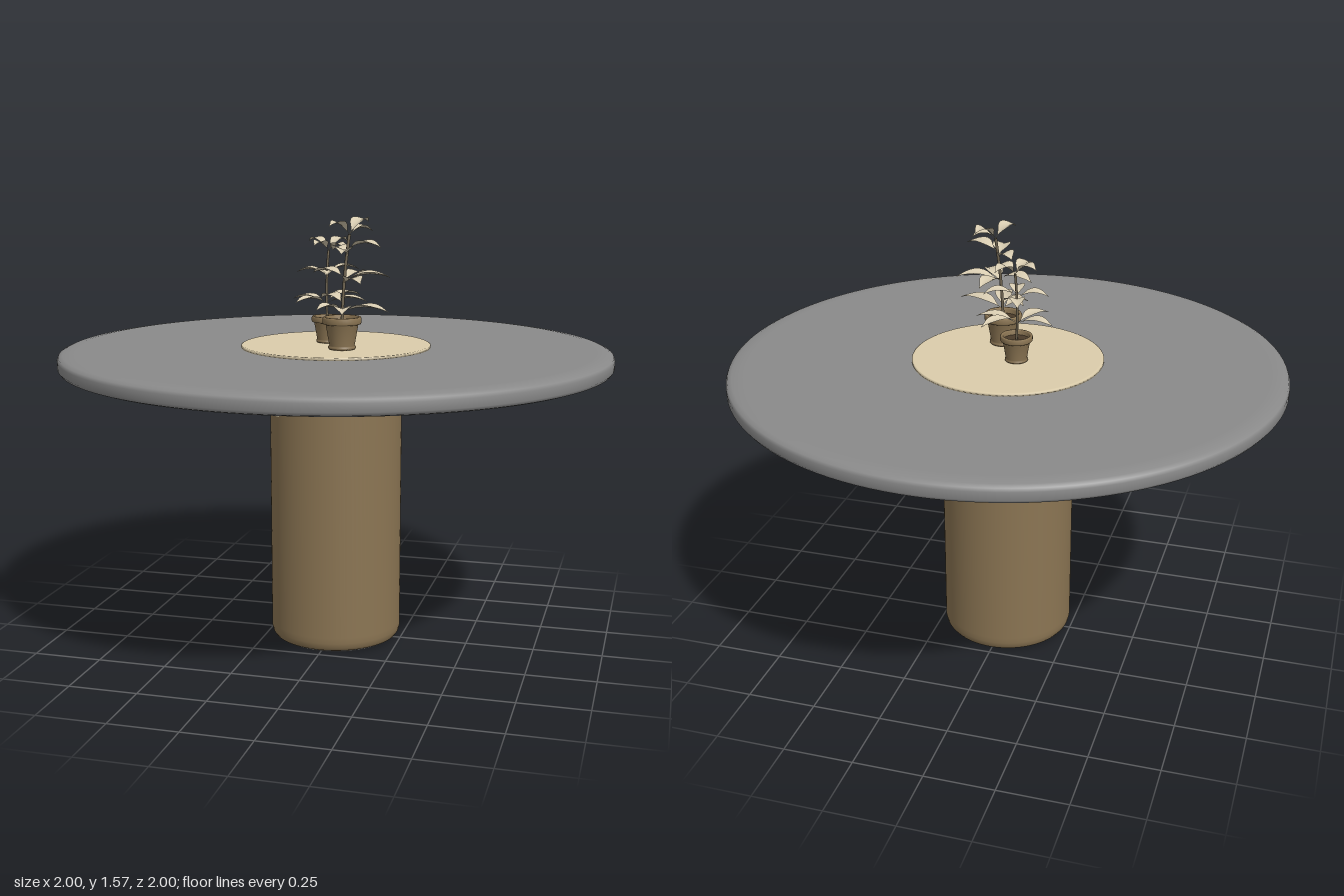
import * as THREE from 'three';

const material = (color) => new THREE.MeshStandardMaterial({ color, side: THREE.DoubleSide });
const grey = material(0x8a8a8a);
const brown = material(0x8b7553);
const cream = material(0xdccdab);
const leafMat = material(0xd9cdb2);
const soilMat = material(0x4a3b2a);
const stemMat = material(0x6f6450);

function add(parent, name, geometry, mat) {
  const mesh = new THREE.Mesh(geometry, mat);
  mesh.name = name;
  parent.add(mesh);
  return mesh;
}

function lathe(points, segments = 96) {
  return new THREE.LatheGeometry(points.map(([x, y]) => new THREE.Vector2(x, y)), segments);
}

// Pointed leaf: a plane bent along an arc, tapered to both ends and folded at the midrib
function leafGeometry(base, tip, width) {
  const mid = base.clone().lerp(tip, 0.5);
  mid.y = Math.max(base.y, tip.y) + 0.03;
  const curve = new THREE.QuadraticBezierCurve3(base, mid, tip);
  const out = tip.clone().sub(base).setY(0).normalize();
  const side = new THREE.Vector3(-out.z, 0, out.x);
  const geometry = new THREE.PlaneGeometry(2, 1, 4, 10);
  const pos = geometry.attributes.position;
  for (let i = 0; i < pos.count; i++) {
    const u = pos.getX(i);
    const t = pos.getY(i) + 0.5;
    const blade = Math.max(0, (t - 0.15) / 0.85);
    const half = 0.0015 + width * Math.sin(Math.PI * Math.pow(blade, 0.8));
    const p = curve.getPoint(t).addScaledVector(side, u * half * (1 - 0.9 * Math.pow(t, 12)));
    p.y += Math.abs(u) * half * 0.35;
    pos.setXYZ(i, p.x, p.y, p.z);
  }
  geometry.computeVertexNormals();
  return geometry;
}

// Potted plant: foot and top are the stem ends, each leaf is its tip [x, y, z]
function pottedPlant(name, size, foot, top, tips) {
  const plant = new THREE.Group();
  plant.name = name;

  const pot = new THREE.Group();
  pot.name = 'pot';
  pot.position.set(foot[0], 1.108, foot[2]);
  pot.scale.setScalar(size);
  plant.add(pot);
  add(pot, 'potBody', lathe([
    [0, 0], [0.046, 0], [0.049, 0.004], [0.049, 0.01], [0.045, 0.014], [0.058, 0.088],
    [0.066, 0.09], [0.069, 0.095], [0.069, 0.11], [0.066, 0.115], [0.059, 0.115],
    [0.056, 0.11], [0.054, 0.088],
  ], 40), brown);
  const soil = add(pot, 'soil', new THREE.CircleGeometry(0.056, 32), soilMat);
  soil.rotation.x = -Math.PI / 2;
  soil.position.y = 0.095;

  const a = new THREE.Vector3(...foot);
  const b = new THREE.Vector3(...top);
  const bend = a.clone().lerp(b, 0.5).add(new THREE.Vector3(-0.008, 0, 0.006));
  const stem = new THREE.QuadraticBezierCurve3(a, bend, b);
  add(plant, 'stem', new THREE.TubeGeometry(stem, 16, 0.0055 * size, 8), stemMat);

  const leaves = new THREE.Group();
  leaves.name = 'leaves';
  plant.add(leaves);
  tips.forEach(([x, y, z]) => {
    const t = THREE.MathUtils.clamp((y - 0.01 - a.y) / (b.y - a.y), 0.1, 1);
    add(leaves, 'leaf', leafGeometry(stem.getPoint(t), new THREE.Vector3(x, y, z), 0.031 * size), leafMat);
  });
  return plant;
}

export function createModel() {
  const model = new THREE.Group();
  model.name = 'tableWithPlants';

  // Round table top with a softened edge
  add(model, 'tableTop', lathe([
    [0, 1.03], [0.95, 1.03], [0.975, 1.031], [0.992, 1.037], [1, 1.048], [1, 1.076],
    [0.995, 1.087], [0.98, 1.094], [0.95, 1.098], [0.93, 1.098], [0, 1.098],
  ], 128), grey);

  // Pedestal with a rounded lower edge, and its base plate
  add(model, 'pedestal', lathe([
    [0.2, 0.003], [0.217, 0.005], [0.23, 0.011], [0.238, 0.022], [0.242, 0.04],
    [0.242, 0.06], [0.242, 1.032],
  ]), brown);
  add(model, 'basePlate', new THREE.CylinderGeometry(0.212, 0.212, 0.006, 64).translate(0, 0.003, 0), grey);

  // Pale strip wrapped on the pedestal, just below the top
  add(model, 'pedestalStrip',
    new THREE.CylinderGeometry(0.2435, 0.2435, 0.17, 8, 1, true, -1.05, 0.31).translate(0, 0.945, 0), cream);

  // Round mat
  add(model, 'mat', lathe([[0, 1.098], [0.345, 1.098], [0.345, 1.106], [0.341, 1.108], [0.335, 1.108], [0, 1.108]]), cream);

  model.add(pottedPlant('largePlant', 1, [0.055, 1.195, 0.125], [0.075, 1.51, 0.1], [
    [0.235, 1.25, 0.18], [0.1, 1.25, 0.3], [-0.02, 1.25, 0.2], [-0.04, 1.28, 0.06],
    [0.22, 1.36, 0.08], [0.15, 1.35, 0.24], [-0.07, 1.37, 0.06], [0.1, 1.36, -0.02],
    [0.2, 1.47, 0.15], [0.08, 1.45, 0.235], [0, 1.45, 0.05],
    [0.12, 1.55, 0], [0.02, 1.54, 0.17], [0.15, 1.52, 0.06],
  ]));
  model.add(pottedPlant('smallPlant', 0.84, [-0.04, 1.18, -0.03], [-0.045, 1.44, -0.065], [
    [-0.18, 1.26, -0.06], [-0.13, 1.26, 0.08], [0.05, 1.27, -0.165], [0.11, 1.26, -0.03],
    [-0.16, 1.36, -0.04], [-0.08, 1.35, -0.16], [0.06, 1.37, -0.11], [-0.02, 1.36, 0.05],
    [-0.13, 1.47, -0.1], [0, 1.47, -0.16], [0.03, 1.45, -0.03], [-0.08, 1.46, 0.01],
  ]));

  return model;
}
